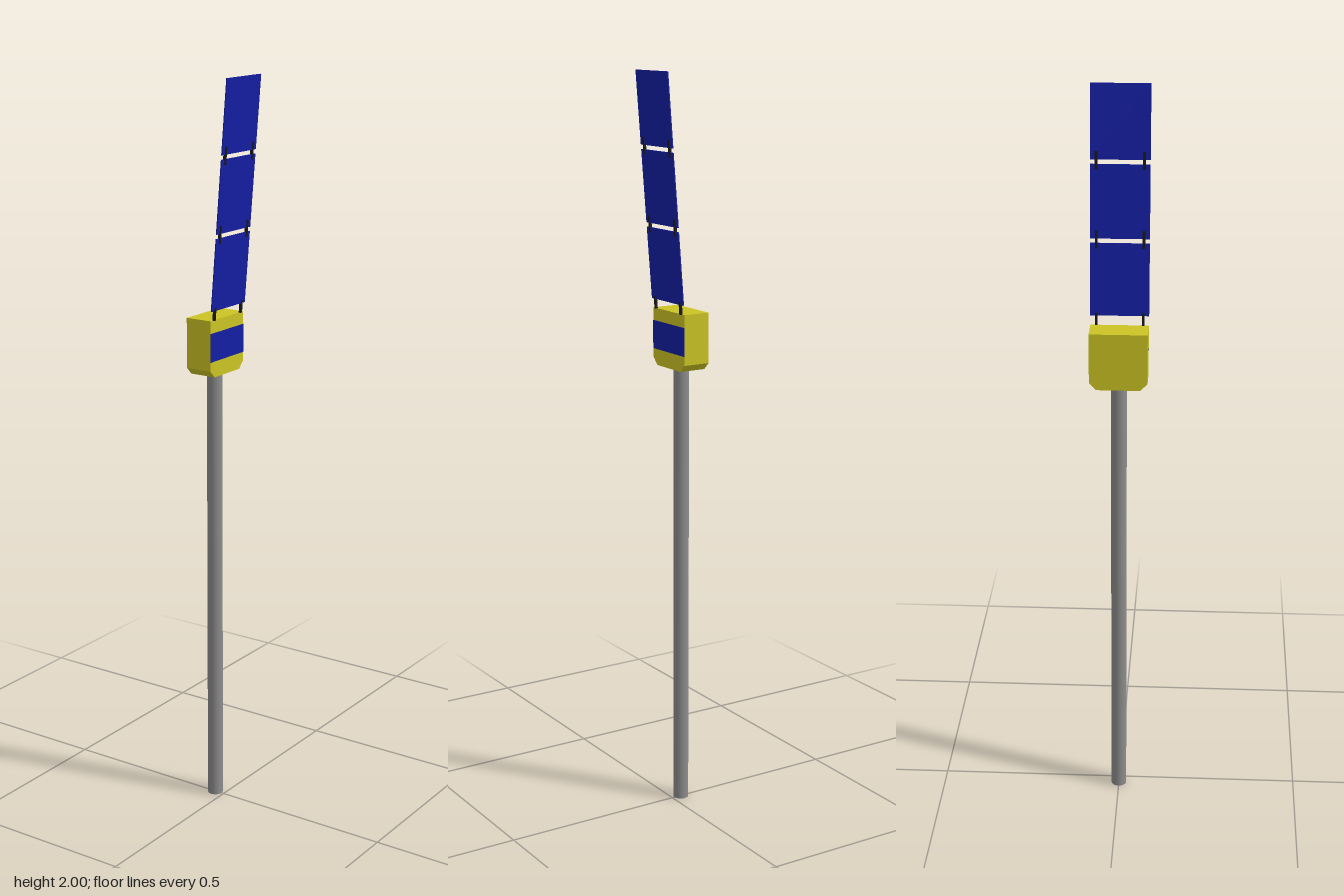
import * as THREE from 'three';

const mat = (color, flat = true) => new THREE.MeshStandardMaterial({ color, flatShading: flat });

export function createModel() {
  const model = new THREE.Group();
  const yellow = mat(0xccc424), blue = mat(0x141fa4), black = mat(0x181818), grey = mat(0x8c8c8c, false);
  const add = (name, geometry, material, x, y, z, parent = model) => {
    const mesh = new THREE.Mesh(geometry, material);
    mesh.name = name;
    mesh.position.set(x, y, z);
    parent.add(mesh);
    return mesh;
  };

  // Long boom below the body
  add('boom', new THREE.CylinderGeometry(0.021, 0.021, 1.23, 24), grey, -0.028, 0.615, 0);

  // Body: box with bevelled lower side edges, swept along x
  const w = 0.076, bottom = 1.227, top = 1.38, bevel = 0.019;
  const profile = new THREE.Shape([
    [-w + bevel, bottom], [w - bevel, bottom], [w, bottom + bevel],
    [w, top], [-w, top], [-w, bottom + bevel],
  ].map(([z, y]) => new THREE.Vector2(z, y)));
  const body = add('body', new THREE.ExtrudeGeometry(profile, { depth: 0.075, bevelEnabled: false }),
    yellow, -0.064, 0, 0);
  body.rotation.y = Math.PI / 2;

  // Solar cells on the side of the body
  add('bodyPanel', new THREE.BoxGeometry(0.002, 0.076, 2 * w), blue, 0.011, 1.308, 0);

  // Tilted wing, hinged on the top edge of the body
  const wing = new THREE.Group();
  wing.name = 'solarWing';
  wing.position.set(0.012, top, 0);
  wing.rotation.z = -Math.atan2(0.05, 0.62);
  model.add(wing);

  const panelHeight = 0.191, pitch = 0.2025;
  for (let i = 0; i < 3; i++) {
    const start = 0.025 + i * pitch;
    add('solarPanel', new THREE.BoxGeometry(0.003, panelHeight, 2 * w + 0.001), blue,
      0, start + panelHeight / 2, 0, wing);
    // Pair of hinge straps bridging the gap below this panel
    for (const z of [-0.061, 0.061]) {
      const length = i ? 0.046 : 0.034;
      add('hinge', new THREE.BoxGeometry(0.006, length, 0.007), black,
        0, start + (i ? -0.002 : -0.009), z, wing);
    }
  }
  return model;
}
